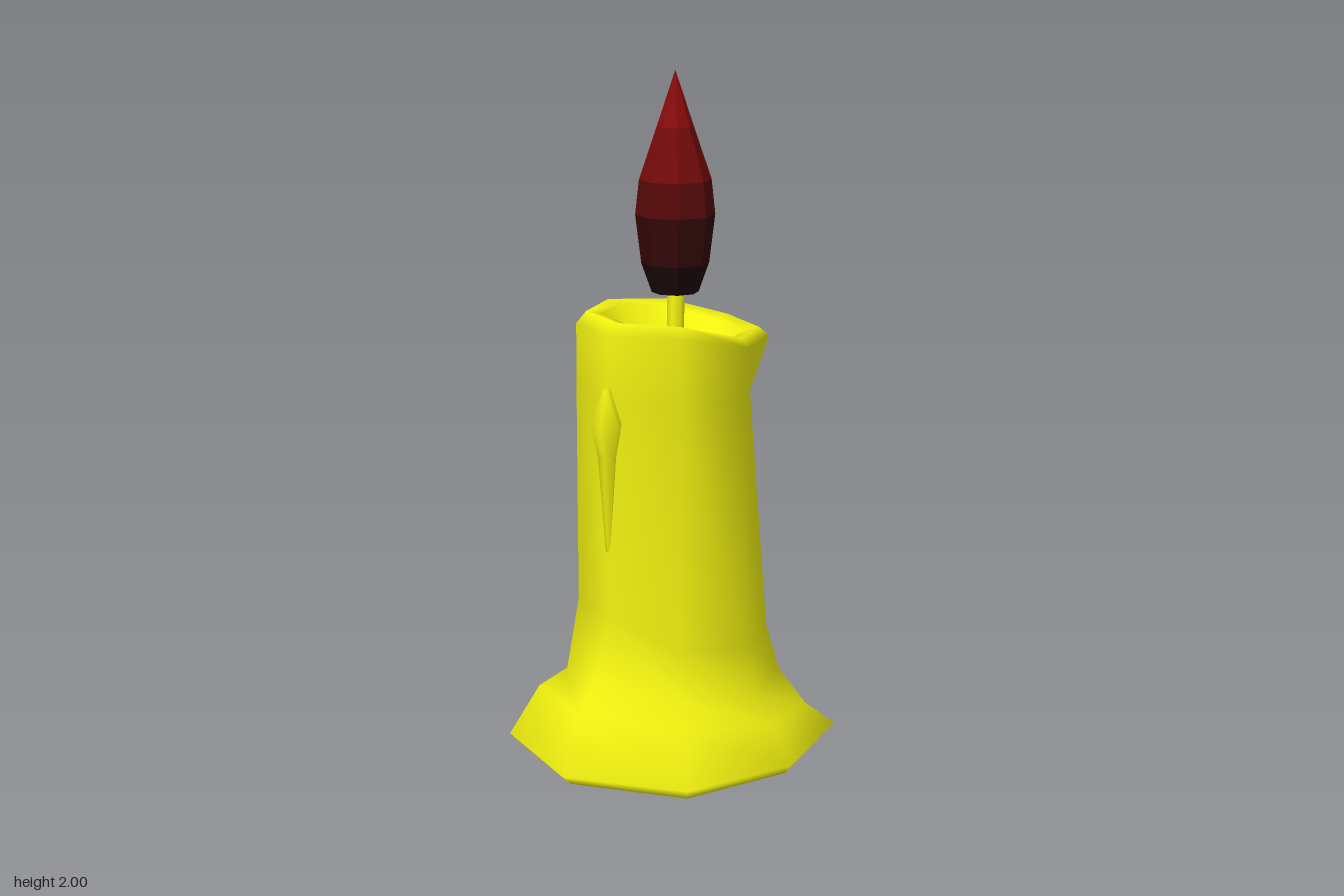
import * as THREE from 'three';

const wax = new THREE.MeshStandardMaterial({ color: 0xf0f010 });

// Smooth closed skin over rings listed from bottom to top; radius and height may vary around a ring.
function loft(sides, cx, cz, rings) {
  const pos = [], index = [];
  const at = (v, k) => (Array.isArray(v) ? v[k] : v);
  const mean = (v) => (Array.isArray(v) ? v.reduce((a, b) => a + b) / v.length : v);
  for (const [r, y] of rings) {
    for (let k = 0; k < sides; k++) {
      const a = (k / sides) * Math.PI * 2;
      pos.push(cx + at(r, k) * Math.cos(a), at(y, k), cz - at(r, k) * Math.sin(a));
    }
  }
  const last = rings.length - 1, bottom = rings.length * sides, top = bottom + 1;
  pos.push(cx, mean(rings[0][1]), cz, cx, mean(rings[last][1]), cz);
  for (let k = 0; k < sides; k++) {
    const n = (k + 1) % sides;
    for (let i = 0; i < last; i++) {
      const a = i * sides + k, b = i * sides + n;
      index.push(a, b, a + sides, b, b + sides, a + sides);
    }
    index.push(bottom, n, k, top, last * sides + k, last * sides + n);
  }
  const g = new THREE.BufferGeometry();
  g.setAttribute('position', new THREE.Float32BufferAttribute(pos, 3));
  g.setIndex(index);
  g.computeVertexNormals();
  return g;
}

export function createModel() {
  const group = new THREE.Group();
  const add = (name, geometry, material) => {
    const mesh = new THREE.Mesh(geometry, material);
    mesh.name = name;
    group.add(mesh);
    return mesh;
  };

  // Candle body: melted skirt, column, uneven lip and hollow well.
  // Values run counterclockwise seen from above, starting at +x.
  const rim = [1.26, 1.265, 1.3, 1.315, 1.315, 1.315, 1.315, 1.265];
  add('candleBody', loft(8, 0, -0.015, [
    [[0.46, 0.46, 0.435, 0.46, 0.46, 0.46, 0.46, 0.425], 0],
    [[0.49, 0.495, 0.46, 0.495, 0.49, 0.49, 0.485, 0.45], 0.03],
    [[0.40, 0.38, 0.32, 0.38, 0.40, 0.42, 0.405, 0.39], [0.10, 0.10, 0.13, 0.13, 0.18, 0.2, 0.17, 0.14]],
    [[0.32, 0.31, 0.295, 0.31, 0.32, 0.35, 0.315, 0.32], [0.21, 0.21, 0.21, 0.21, 0.21, 0.28, 0.23, 0.21]],
    [0.28, [0.35, 0.35, 0.33, 0.4, 0.45, 0.45, 0.37, 0.35]],
    [[0.225, 0.235, 0.245, 0.265, 0.28, 0.28, 0.28, 0.25], [1.07, 1.08, 1.12, 1.1, 1.1, 1.1, 1.1, 1.08]],
    [0.279, [1.235, 1.24, 1.27, 1.285, 1.28, 1.28, 1.285, 1.24]],
    [0.25, rim],
    [0.205, rim.map((y) => y - 0.01)],
    [0.16, 1.215],
    [0.08, 1.2],
  ]), wax);

  // Wax drip running down the column
  add('waxDrip', loft(6, -0.2, 0.175, [
    [0.008, 0.65], [0.03, 0.93], [0.05, 1.03], [0.012, 1.13],
  ]), wax);

  // Wick leaning slightly backwards
  const wickPath = new THREE.CatmullRomCurve3([
    new THREE.Vector3(0.005, 1.18, 0.005),
    new THREE.Vector3(0.007, 1.28, -0.01),
    new THREE.Vector3(0.01, 1.4, -0.03),
  ]);
  add('wick', new THREE.TubeGeometry(wickPath, 3, 0.025, 6), wax);

  // Faceted flame in bands, from black at the base to red at the tip
  const profile = [[0, 1.365], [0.068, 1.365], [0.098, 1.45], [0.115, 1.59], [0.104, 1.69], [0.053, 1.84], [0, 2]]
    .map(([r, y]) => new THREE.Vector2(r, y));
  const colors = [0x120606, 0x1c0607, 0x330708, 0x560909, 0x740a0a, 0x880c0c];
  const flame = new THREE.Group();
  flame.name = 'flame';
  colors.forEach((color, i) => {
    const band = add('flameBand' + (i + 1), new THREE.LatheGeometry(profile.slice(i, i + 2), 8),
      new THREE.MeshStandardMaterial({ color, flatShading: true }));
    flame.add(band);
  });
  flame.position.set(0.008, 0, -0.03);
  group.add(flame);

  return group;
}
